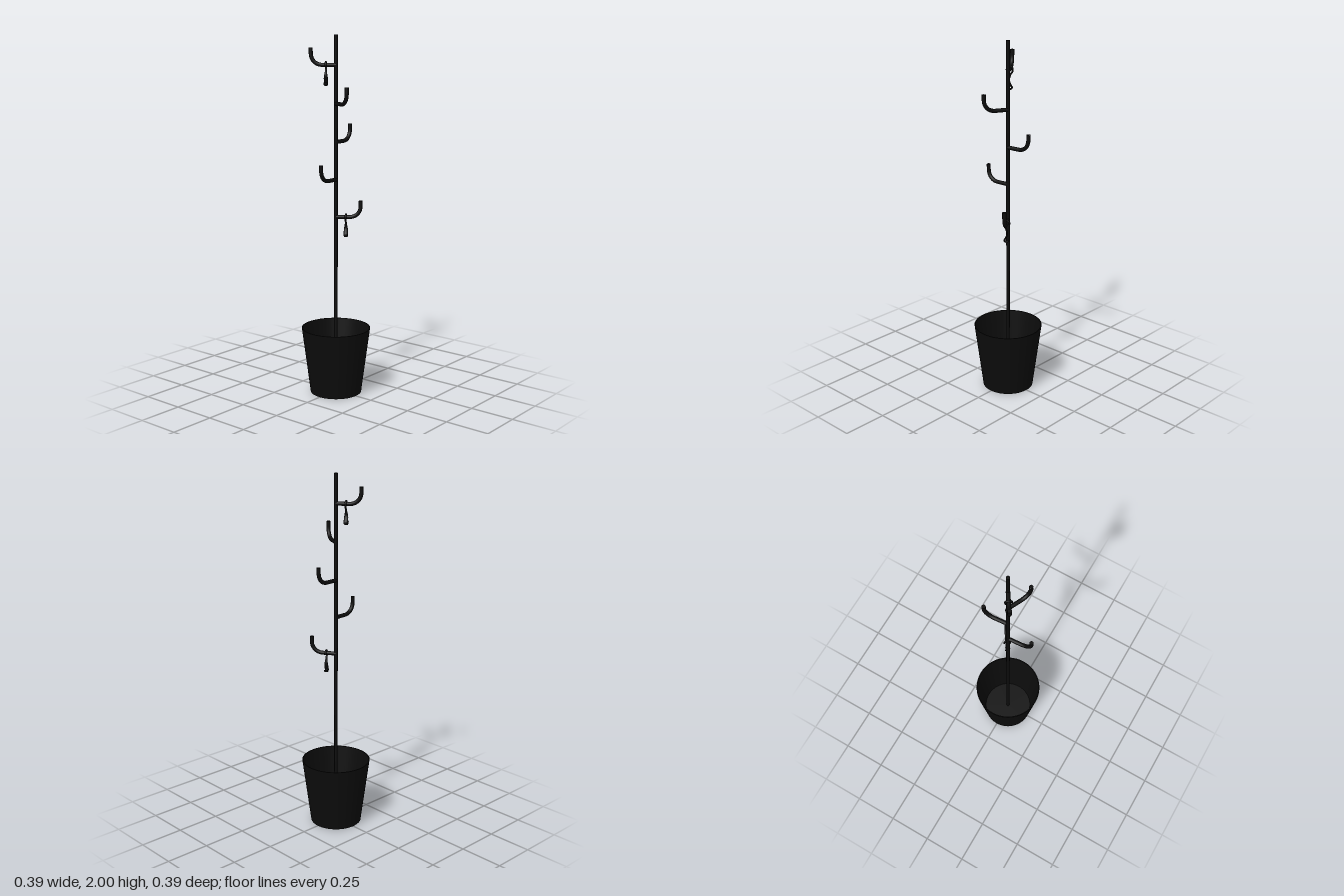
import * as THREE from 'three';

const V = (x, y, z = 0) => new THREE.Vector3(x, y, z);

export function createModel() {
  const model = new THREE.Group();
  const black = new THREE.MeshStandardMaterial({ color: 0x0c0c0c });
  black.name = 'matte black';

  function add(parent, geometry, name) {
    const mesh = new THREE.Mesh(geometry, black);
    mesh.name = name;
    parent.add(mesh);
    return mesh;
  }

  // Thin tapered pot, open at the top; corners are doubled to stay sharp
  const profile = [[0, 0], [0.144, 0], [0.144, 0], [0.193, 0.375], [0.193, 0.375],
    [0.188, 0.375], [0.188, 0.375], [0.142, 0.012], [0.142, 0.012], [0, 0.012]];
  add(model, new THREE.LatheGeometry(profile.map(([x, y]) => new THREE.Vector2(x, y)), 48), 'pot');

  // Central pole
  const pole = add(model, new THREE.CylinderGeometry(0.01, 0.01, 1.99, 20), 'pole');
  pole.position.y = 1.005;

  // Upturned arm, running along local +x
  const armPath = new THREE.CurvePath();
  armPath.add(new THREE.LineCurve3(V(0, 0), V(0.072, 0)));
  armPath.add(new THREE.CubicBezierCurve3(V(0.072, 0), V(0.11, 0), V(0.137, 0.025), V(0.137, 0.065)));
  armPath.add(new THREE.LineCurve3(V(0.137, 0.065), V(0.137, 0.092)));
  const armGeometry = new THREE.TubeGeometry(armPath, 36, 0.011, 14);
  const capGeometry = new THREE.CircleGeometry(0.011, 14).rotateX(-Math.PI / 2);

  // Small hanging hook: a wire S in the local yz plane, flattened wider towards its foot
  const hangerPath = new THREE.CatmullRomCurve3([
    V(0, -0.006, -0.017), V(0, 0.008, -0.014), V(0, 0.016, 0), V(0, 0.008, 0.014),
    V(0, -0.012, 0.015), V(0, -0.03, 0.004), V(0, -0.06, -0.004), V(0, -0.085, 0.004),
    V(0, -0.1, 0.012), V(0, -0.108, 0.002), V(0, -0.1, -0.012), V(0, -0.092, -0.015)]);
  const hangerGeometry = new THREE.TubeGeometry(hangerPath, 60, 0.005, 10);
  const p = hangerGeometry.attributes.position;
  for (let i = 0; i < p.count; i++) {
    const t = THREE.MathUtils.smoothstep(-p.getY(i), 0.03, 0.075);
    p.setX(i, p.getX(i) * (1.1 + 1.2 * t));
  }
  hangerGeometry.computeVertexNormals();

  // Arms at even heights, each as [height, x, z, has a hanging hook]
  const arms = [
    [1.84, -0.115, 0.075, true],
    [1.632, 0.123, 0.06, false],
    [1.424, -0.011, -0.14, false],
    [1.216, 0.009, 0.14, false],
    [1.008, 0.114, -0.077, true]];
  for (const [y, x, z, hasHanger] of arms) {
    const arm = new THREE.Group();
    arm.name = 'arm';
    arm.position.y = y;
    arm.rotation.y = Math.atan2(-z, x);
    add(arm, armGeometry, 'armTube');
    add(arm, capGeometry, 'armTip').position.set(0.137, 0.092, 0);
    if (hasHanger) add(arm, hangerGeometry, 'hangingHook').position.x = 0.055;
    model.add(arm);
  }
  return model;
}
